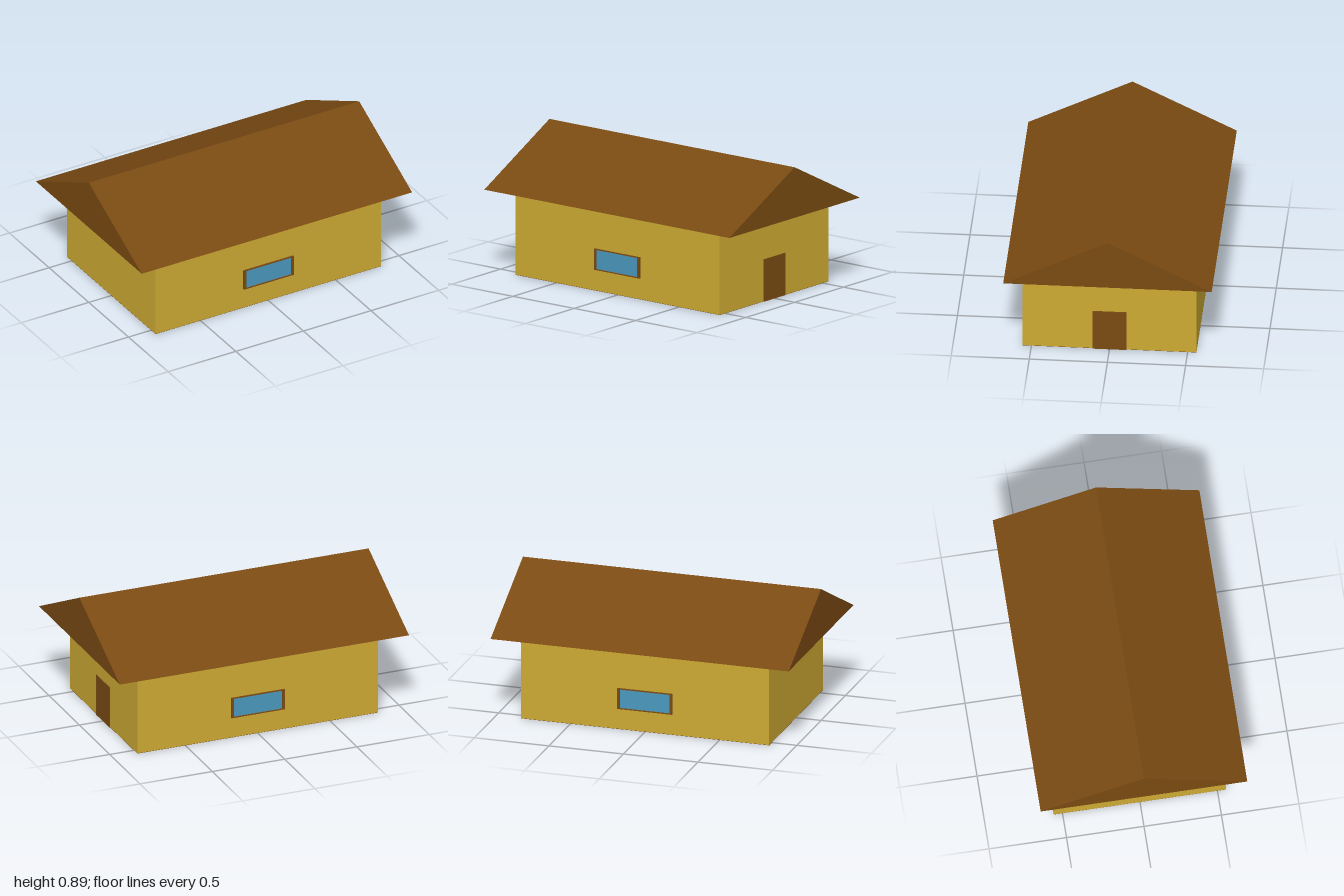
import * as THREE from 'three';

const paint = (color) => new THREE.MeshStandardMaterial({ color, flatShading: true });

export function createModel() {
  const house = new THREE.Group();
  house.name = 'house';
  const yellow = paint(0xcdaa33);
  const brown = paint(0x7a4a12);
  const glass = paint(0x4a98bd);

  const add = (parent, name, geometry, material, x = 0, y = 0, z = 0) => {
    const mesh = new THREE.Mesh(geometry, material);
    mesh.name = name;
    mesh.position.set(x, y, z);
    parent.add(mesh);
    return mesh;
  };

  // Rectangular frame standing on y = 0, extruded towards +z
  const frame = (w, h, side, bottom, top, depth) => {
    const rect = (P, x, y0, y1) => new P([
      new THREE.Vector2(-x, y0), new THREE.Vector2(x, y0),
      new THREE.Vector2(x, y1), new THREE.Vector2(-x, y1),
    ]);
    const shape = rect(THREE.Shape, w / 2, 0, h);
    shape.holes.push(rect(THREE.Path, w / 2 - side, bottom, h - top));
    return new THREE.ExtrudeGeometry(shape, { depth, bevelEnabled: false });
  };

  // Floor slab and walls
  add(house, 'floor', new THREE.BoxGeometry(1.666, 0.002, 1.112), brown, 0, 0.001, 0);
  add(house, 'walls', new THREE.BoxGeometry(1.666, 0.554, 1.112), yellow, 0, 0.279, 0);

  // Gable roof, ridge along x
  const gable = new THREE.Shape([
    new THREE.Vector2(-0.667, 0), new THREE.Vector2(0.667, 0), new THREE.Vector2(0, 0.333),
  ]);
  const roof = new THREE.ExtrudeGeometry(gable, { depth: 2, bevelEnabled: false });
  roof.translate(0, 0, -1).rotateY(Math.PI / 2);
  add(house, 'roof', roof, brown, 0, 0.556, 0);

  // One window in the front wall and one in the back wall
  for (const side of ['front', 'back']) {
    const window = new THREE.Group();
    window.name = side + 'Window';
    add(window, 'windowFrame', frame(0.37, 0.139, 0.017, 0.006, 0.006, 0.013), brown, 0, 0.139, 0.554);
    add(window, 'windowPane', new THREE.BoxGeometry(0.338, 0.129, 0.006), glass, 0, 0.2085, 0.557);
    if (side === 'back') window.rotation.y = Math.PI;
    house.add(window);
  }

  // Door in the left end wall
  const door = new THREE.Group();
  door.name = 'door';
  add(door, 'doorFrame', frame(0.22, 0.278, 0.009, 0.001, 0.011, 0.008), brown, 0, 0, 0.831);
  add(door, 'doorPanel', new THREE.BoxGeometry(0.204, 0.268, 0.005), brown, 0, 0.134, 0.8335);
  door.rotation.y = Math.PI / 2;
  house.add(door);

  return house;
}
